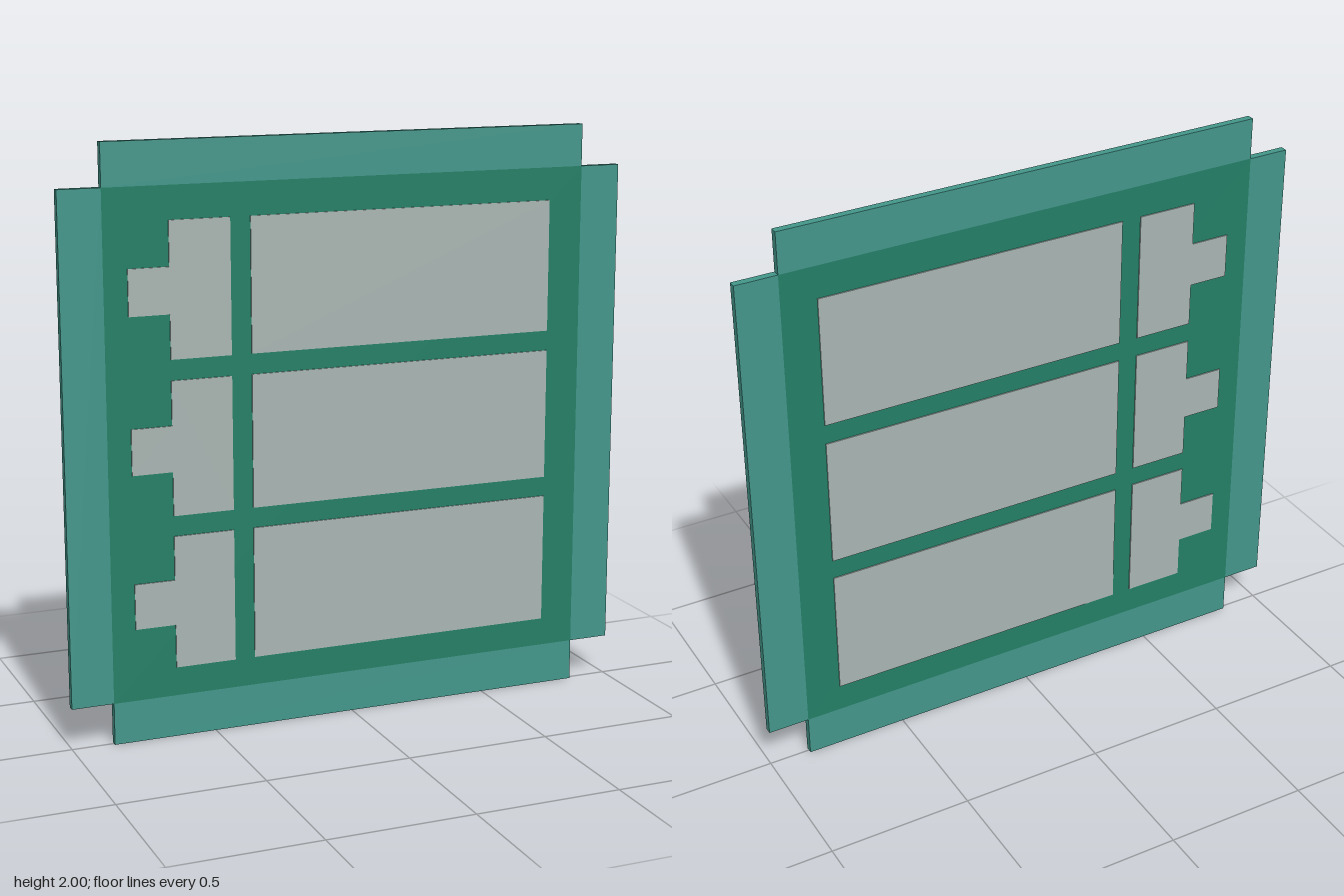
import * as THREE from 'three';

const material = (name, color) => {
  const m = new THREE.MeshStandardMaterial({ color });
  m.name = name;
  return m;
};

export function createModel() {
  const group = new THREE.Group();
  group.name = 'framedPanel';
  const teal = material('teal', 0x43968a);
  const green = material('deep green', 0x237f66);
  const grey = material('pale grey', 0xa9b5b2);

  const half = 0.856;   // half size of the square centre
  const depth = 0.026;  // board thickness
  const raised = 0.034; // inset thickness, proud on both faces

  const addBox = (name, mat, w, h, d, x, y) => {
    const mesh = new THREE.Mesh(new THREE.BoxGeometry(w, h, d), mat);
    mesh.name = name;
    mesh.position.set(x, y, 0);
    group.add(mesh);
  };

  // Square centre board
  addBox('centreBoard', green, 2 * half, 2 * half, depth, 0, 1);

  // Four edge flanges, leaving the corners notched
  const rim = 1 - half;
  for (const s of [-1, 1]) {
    const mid = s * (half + rim / 2);
    addBox(s < 0 ? 'rightFlange' : 'leftFlange', teal, rim, 2 * half, depth, mid, 1);
    addBox(s < 0 ? 'bottomFlange' : 'topFlange', teal, 2 * half, rim, depth, 0, 1 + mid);
  }

  // Tabbed inset outline, measured from the bottom of its row
  const tabbed = new THREE.Shape([
    [-0.428, 0], [-0.428, 0.454], [-0.637, 0.454], [-0.637, 0.304],
    [-0.776, 0.304], [-0.776, 0.149], [-0.637, 0.149], [-0.637, 0],
  ].map(([x, y]) => new THREE.Vector2(x, y)));
  const tabbedGeometry = new THREE.ExtrudeGeometry(tabbed, { depth: raised, bevelEnabled: false });
  tabbedGeometry.translate(0, 0, -raised / 2);

  // Three rows of insets
  for (let row = 0; row < 3; row++) {
    const y = 0.243 + row * 0.5235;
    addBox('wideInset', grey, 1.091, 0.454, raised, 0.1875, y + 0.227);
    const mesh = new THREE.Mesh(tabbedGeometry, grey);
    mesh.name = 'tabbedInset';
    mesh.position.y = y;
    group.add(mesh);
  }
  return group;
}
